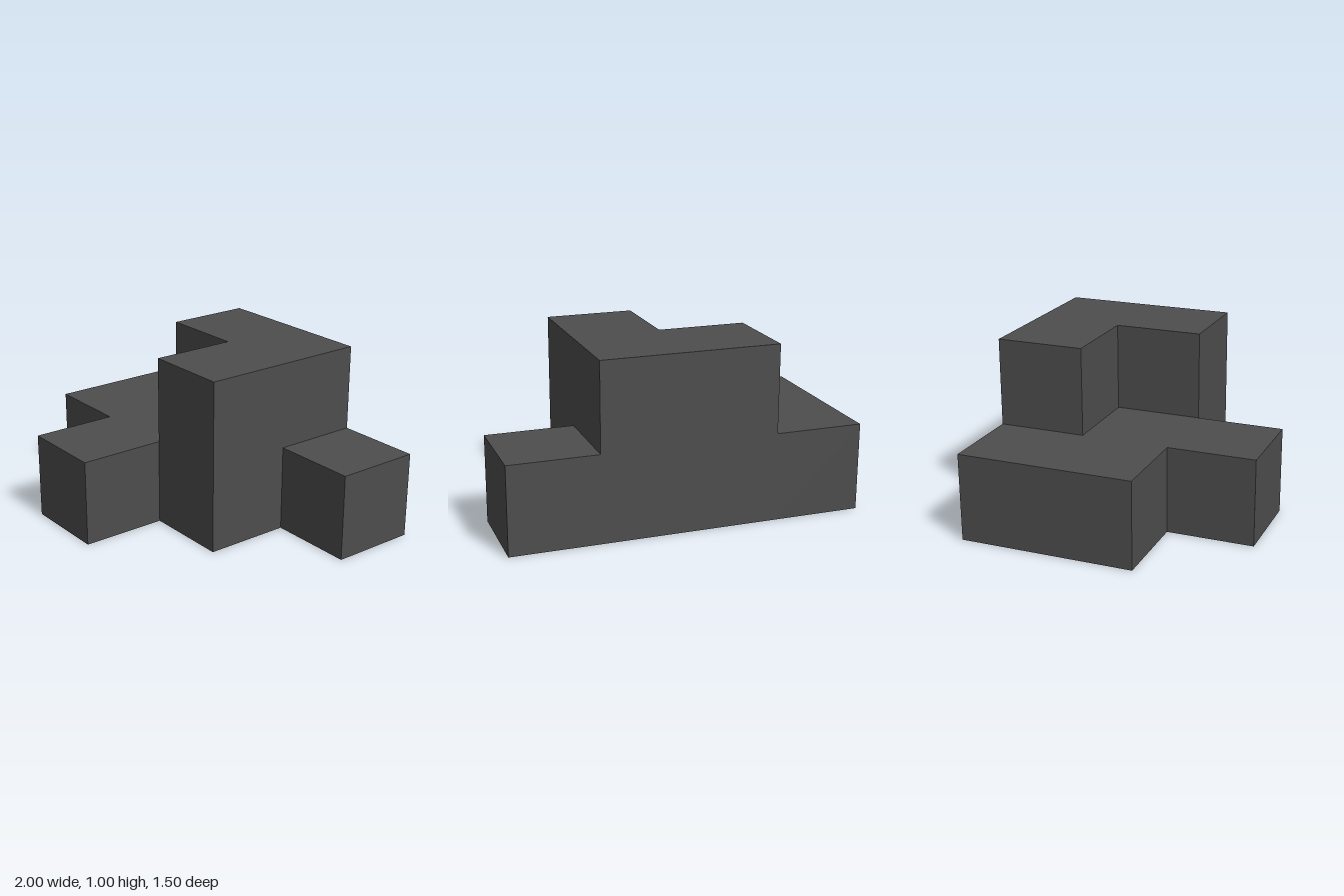
import * as THREE from 'three';
import { mergeGeometries } from 'three/addons/utils/BufferGeometryUtils.js';

const S = 0.5; // edge of one cube

// Number of stacked cubes per cell: rows run back to front, columns run -x to +x
const heights = [
  [1, 2, 2, 1],
  [1, 1, 2, 0],
  [0, 1, 0, 0],
];

const filled = (x, y, z) => y >= 0 && y < (heights[z]?.[x] ?? 0);

// Outward directions with the rotation that turns a +z plane to face them
const sides = [
  [0, 0, 1, 0, 0],
  [0, 0, -1, 0, Math.PI],
  [1, 0, 0, 0, Math.PI / 2],
  [-1, 0, 0, 0, -Math.PI / 2],
  [0, 1, 0, -Math.PI / 2, 0],
  [0, -1, 0, Math.PI / 2, 0],
];

// Exposed faces of all cubes in one layer, so that no walls remain inside
function layerGeometry(y) {
  const faces = [];
  heights.forEach((row, z) => row.forEach((_, x) => {
    if (!filled(x, y, z)) return;
    for (const [dx, dy, dz, rx, ry] of sides) {
      if (filled(x + dx, y + dy, z + dz)) continue;
      faces.push(new THREE.PlaneGeometry(S, S)
        .translate(0, 0, S / 2)
        .rotateX(rx)
        .rotateY(ry)
        .translate((x - 1.5) * S, (y + 0.5) * S, (z - 1) * S));
    }
  }));
  return mergeGeometries(faces);
}

export function createModel() {
  const group = new THREE.Group();
  group.name = 'steppedBlocks';
  const charcoal = new THREE.MeshStandardMaterial({ color: 0x4d4d4d });
  charcoal.name = 'charcoal';

  ['lowerBlocks', 'upperBlocks'].forEach((name, y) => {
    const mesh = new THREE.Mesh(layerGeometry(y), charcoal);
    mesh.name = name;
    group.add(mesh);
  });
  return group;
}
